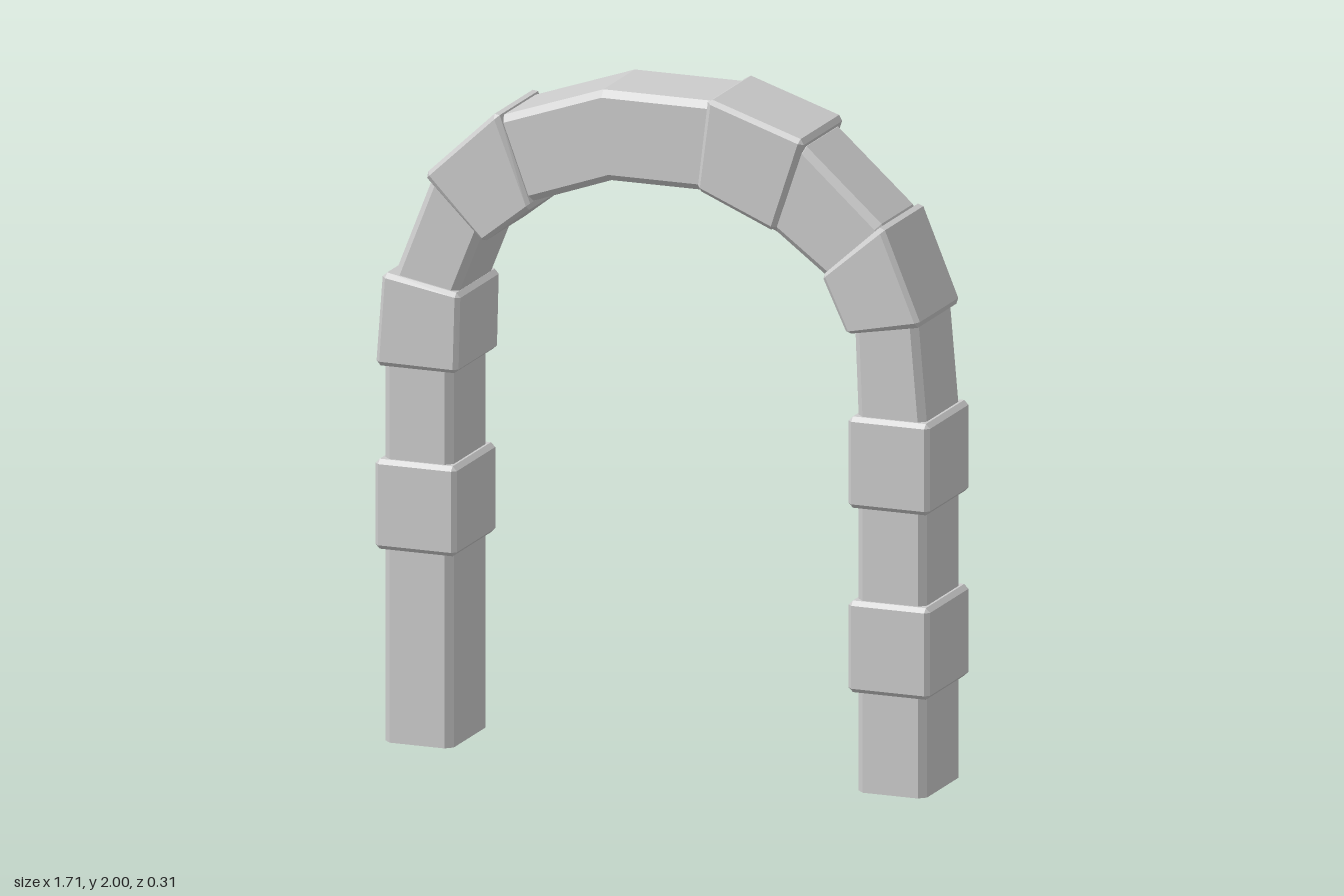
import * as THREE from 'three';
import { ConvexGeometry } from 'three/addons/geometries/ConvexGeometry.js';

const material = new THREE.MeshStandardMaterial({ color: 0xcccccc, flatShading: true });

// Arch core: bevelled rectangle lofted through stations [outerX, outerY, innerX, innerY]
function archCore(stations, halfDepth, bevel) {
  const rings = stations.map(([ox, oy, ix, iy]) => {
    const outer = new THREE.Vector3(ox, oy, 0);
    const inner = new THREE.Vector3(ix, iy, 0);
    const t = bevel / outer.distanceTo(inner);
    const at = (s, z) => outer.clone().lerp(inner, s).setZ(z);
    const d = halfDepth, e = halfDepth - bevel;
    return [at(0, -e), at(0, e), at(t, d), at(1 - t, d), at(1, e), at(1, -e), at(1 - t, -d), at(t, -d)];
  });
  const positions = [];
  const tri = (...corners) => corners.forEach((p) => positions.push(p.x, p.y, p.z));
  const n = 8;
  for (let i = 0; i < rings.length - 1; i++) {
    for (let j = 0; j < n; j++) {
      const a = rings[i][j], b = rings[i][(j + 1) % n];
      const c = rings[i + 1][(j + 1) % n], d = rings[i + 1][j];
      tri(a, b, c);
      tri(a, c, d);
    }
  }
  // Feet
  const first = rings[0], last = rings[rings.length - 1];
  for (let j = 1; j < n - 1; j++) {
    tri(first[0], first[j + 1], first[j]);
    tri(last[0], last[j], last[j + 1]);
  }
  const geometry = new THREE.BufferGeometry();
  geometry.setAttribute('position', new THREE.Float32BufferAttribute(positions, 3));
  geometry.computeVertexNormals();
  return geometry;
}

// Stone block: a four-sided outline given depth, with every edge chamfered
function stoneBlock(corners, halfDepth, bevel) {
  const [a, b, c, d] = corners.map(([x, y]) => new THREE.Vector2(x, y));
  const lengthU = (a.distanceTo(b) + d.distanceTo(c)) / 2;
  const lengthV = (a.distanceTo(d) + b.distanceTo(c)) / 2;
  const points = [];
  const add = (u, v, z) => {
    const p = a.clone().lerp(b, u).lerp(d.clone().lerp(c, u), v);
    points.push(new THREE.Vector3(p.x, p.y, z));
  };
  const inset = (side, amount) => (side ? 1 - amount : amount);
  for (const su of [0, 1]) for (const sv of [0, 1]) for (const sz of [-1, 1]) {
    const u = inset(su, bevel / lengthU), v = inset(sv, bevel / lengthV);
    const z = sz * (halfDepth - bevel);
    add(su, v, z);
    add(u, sv, z);
    add(u, v, sz * halfDepth);
  }
  return new ConvexGeometry(points);
}

const rect = (x0, x1, y0, y1) => [[x0, y0], [x1, y0], [x1, y1], [x0, y1]];

export function createModel() {
  const group = new THREE.Group();
  group.name = 'stoneArch';
  const add = (geometry, name) => {
    const mesh = new THREE.Mesh(geometry, material);
    mesh.name = name;
    group.add(mesh);
  };

  // Continuous core from the right foot over the crown to the left foot
  add(archCore([
    [-0.835, 0, -0.625, 0],
    [-0.835, 1.11, -0.625, 1.11],
    [-0.81, 1.365, -0.61, 1.34],
    [-0.69, 1.67, -0.53, 1.54],
    [-0.47, 1.88, -0.38, 1.635],
    [-0.165, 1.985, -0.14, 1.72],
    [0.165, 1.985, 0.14, 1.72],
    [0.46, 1.88, 0.37, 1.62],
    [0.69, 1.675, 0.53, 1.5],
    [0.805, 1.385, 0.61, 1.355],
    [0.83, 1.1, 0.62, 1.1],
    [0.83, 0, 0.62, 0],
  ], 0.138, 0.02), 'archCore');

  // Projecting blocks, outlines anticlockwise seen from the front
  const blocks = {
    rightLowerBlock: rect(-0.855, -0.605, 0.57, 0.835),
    rightUpperBlock: [[-0.853, 1.11], [-0.6, 1.11], [-0.594, 1.345], [-0.832, 1.388]],
    rightShoulderBlock: [[-0.705, 1.685], [-0.522, 1.505], [-0.375, 1.62], [-0.478, 1.897]],
    crownBlock: [[0.135, 1.727], [0.372, 1.627], [0.466, 1.903], [0.168, 2.0]],
    leftShoulderBlock: [[0.595, 1.348], [0.825, 1.39], [0.705, 1.68], [0.518, 1.512]],
    leftUpperBlock: rect(0.6, 0.85, 0.838, 1.107),
    leftLowerBlock: rect(0.6, 0.85, 0.295, 0.565),
  };
  for (const [name, corners] of Object.entries(blocks)) {
    add(stoneBlock(corners, 0.157, 0.013), name);
  }
  return group;
}
